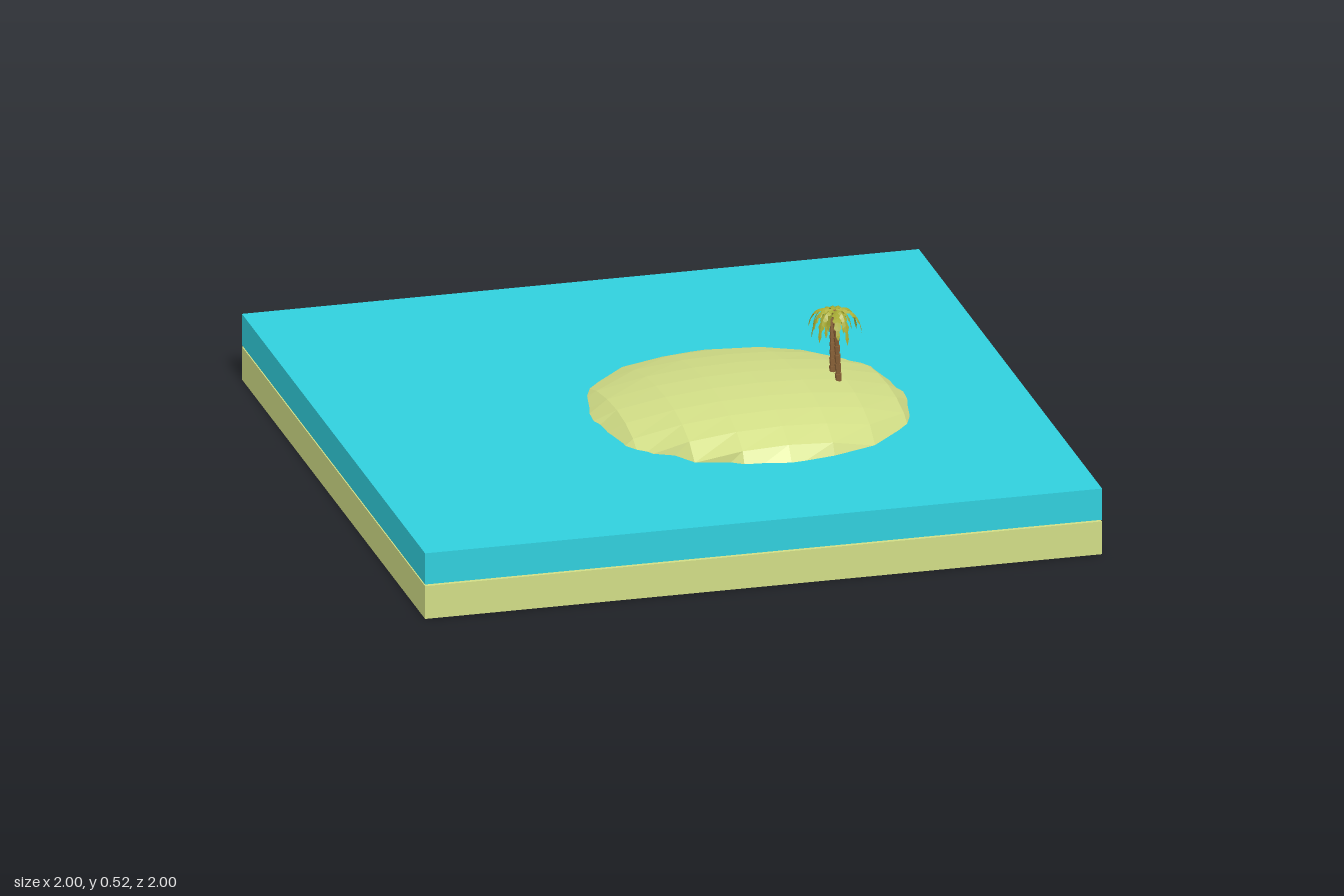
import * as THREE from 'three';

const material = (color, extra = {}) =>
  new THREE.MeshStandardMaterial({ color, flatShading: true, ...extra });
const sandMat = material(0xd1dd86);
const waterMat = material(0x30cfdd);
const barkMat = material(0x8a6238);
const leafMat = material(0xa9ad35, { side: THREE.DoubleSide });

function mesh(name, geometry, mat) {
  const m = new THREE.Mesh(geometry, mat);
  m.name = name;
  return m;
}

// Sand slab whose top and underside are both pulled up and forward into a mound
function makeSand() {
  const geo = new THREE.BoxGeometry(2, 0.1, 2, 15, 1, 20).translate(0, 0.05, 0);
  const p = geo.attributes.position;
  const radius = 0.545;
  for (let i = 0; i < p.count; i++) {
    const d = Math.hypot(p.getX(i) - 0.2, p.getZ(i)) / radius;
    if (d >= 1) continue;
    const f = Math.sqrt(1 - d * d);
    p.setY(i, p.getY(i) + 0.21 * f);
    p.setZ(i, p.getZ(i) + 0.2 * f);
  }
  geo.computeVertexNormals();
  return mesh('sandIsland', geo, sandMat);
}

// Drooping leaf: ridge in the middle, two lowered jagged edges
function frondGeometry(length, drop, width) {
  const n = 10, pos = [], index = [];
  for (let i = 0; i <= n; i++) {
    const s = i / n;
    const x = length * Math.sin(s * 1.45);
    const y = drop * (0.75 * s - 1.75 * s * s);
    const jag = i % 2 ? 1 : 0.55;
    const w = width * Math.pow(Math.sin(Math.PI * (0.06 + 0.94 * s)), 0.7) * jag;
    pos.push(x, y - w * 0.6, -w, x, y, 0, x, y - w * 0.6, w);
    if (i === n) break;
    for (let k = 0; k < 2; k++) {
      const a = i * 3 + k;
      index.push(a, a + 1, a + 3, a + 1, a + 4, a + 3);
    }
  }
  const geo = new THREE.BufferGeometry();
  geo.setAttribute('position', new THREE.Float32BufferAttribute(pos, 3));
  geo.setIndex(index);
  geo.computeVertexNormals();
  return geo;
}

// Palm: flared trunk rings along a bent curve, with a crown of fronds
function makePalm(name, base, bend, top, size, count, turn) {
  const palm = new THREE.Group();
  palm.name = name;
  const curve = new THREE.QuadraticBezierCurve3(
    new THREE.Vector3(...base), new THREE.Vector3(...bend), new THREE.Vector3(...top));
  const rings = 9, up = new THREE.Vector3(0, 1, 0);
  for (let i = 0; i < rings; i++) {
    const a = curve.getPoint(i / rings), b = curve.getPoint((i + 1) / rings);
    const r = 0.0095 - 0.0035 * (i / rings);
    const ring = mesh('trunkRing',
      new THREE.CylinderGeometry(r * 1.08, r * 0.8, a.distanceTo(b) * 1.05, 7), barkMat);
    ring.position.copy(a).lerp(b, 0.5);
    ring.quaternion.setFromUnitVectors(up, b.clone().sub(a).normalize());
    palm.add(ring);
  }
  const crown = new THREE.Group();
  crown.name = 'crown';
  crown.position.set(...top);
  for (let i = 0; i < count; i++) {
    const vary = 0.5 + 0.5 * Math.sin(i * 2.4 + turn);
    const frond = mesh('frond',
      frondGeometry(size * (0.78 + 0.25 * vary), size * (0.75 + 0.35 * (1 - vary)), size * 0.17), leafMat);
    frond.rotation.y = turn + (i / count) * Math.PI * 2 + 0.2 * (vary - 0.5);
    crown.add(frond);
  }
  palm.add(crown);
  return palm;
}

export function createModel() {
  const model = new THREE.Group();
  model.name = 'tropicalIsland';

  const water = mesh('water', new THREE.BoxGeometry(2, 0.095, 2), waterMat);
  water.position.y = 0.1525;

  model.add(
    makeSand(),
    water,
    makePalm('tallPalm', [0.443, 0.275, 0.183], [0.44, 0.42, 0.175], [0.425, 0.508, 0.205], 0.08, 9, 0.3),
    makePalm('shortPalm', [0.447, 0.275, 0.1], [0.45, 0.39, 0.095], [0.452, 0.458, 0.068], 0.064, 8, 1.1),
  );
  return model;
}
